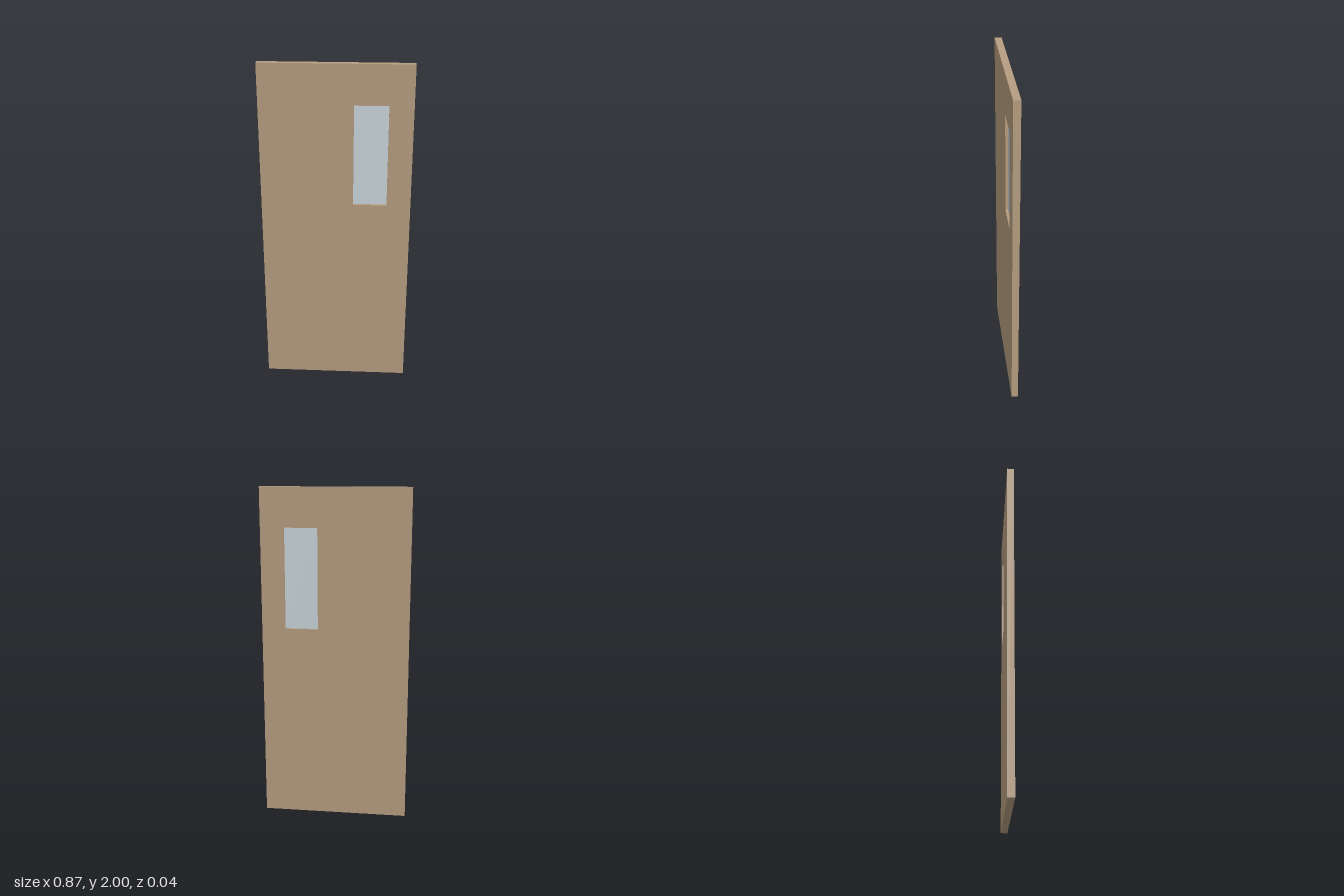
import * as THREE from 'three';

const WIDTH = 0.874, HEIGHT = 2, DEPTH = 0.04;
const PANE = { x0: 0.102, x1: 0.298, y0: 1.175, y1: 1.769, depth: 0.01 };

// Closed rectangle outline from two opposite corners
function trace(path, x0, y0, x1, y1) {
  path.moveTo(x0, y0);
  path.lineTo(x1, y0);
  path.lineTo(x1, y1);
  path.lineTo(x0, y1);
  path.closePath();
  return path;
}

export function createModel() {
  const group = new THREE.Group();
  group.name = 'door';

  // Door leaf with a rectangular opening cut through it
  const outline = trace(new THREE.Shape(), -WIDTH / 2, 0, WIDTH / 2, HEIGHT);
  outline.holes.push(trace(new THREE.Path(), PANE.x0, PANE.y0, PANE.x1, PANE.y1));
  const leafGeometry = new THREE.ExtrudeGeometry(outline, { depth: DEPTH, bevelEnabled: false });
  leafGeometry.translate(0, 0, -DEPTH / 2);
  const leaf = new THREE.Mesh(leafGeometry, new THREE.MeshStandardMaterial({ color: 0xb69d80 }));
  leaf.name = 'doorLeaf';
  group.add(leaf);

  // Thin glass pane set in the middle of the opening
  const glass = new THREE.Mesh(
    new THREE.BoxGeometry(PANE.x1 - PANE.x0, PANE.y1 - PANE.y0, PANE.depth),
    new THREE.MeshStandardMaterial({ color: 0xc9d5db })
  );
  glass.name = 'windowPane';
  glass.position.set((PANE.x0 + PANE.x1) / 2, (PANE.y0 + PANE.y1) / 2, 0);
  group.add(glass);

  return group;
}
